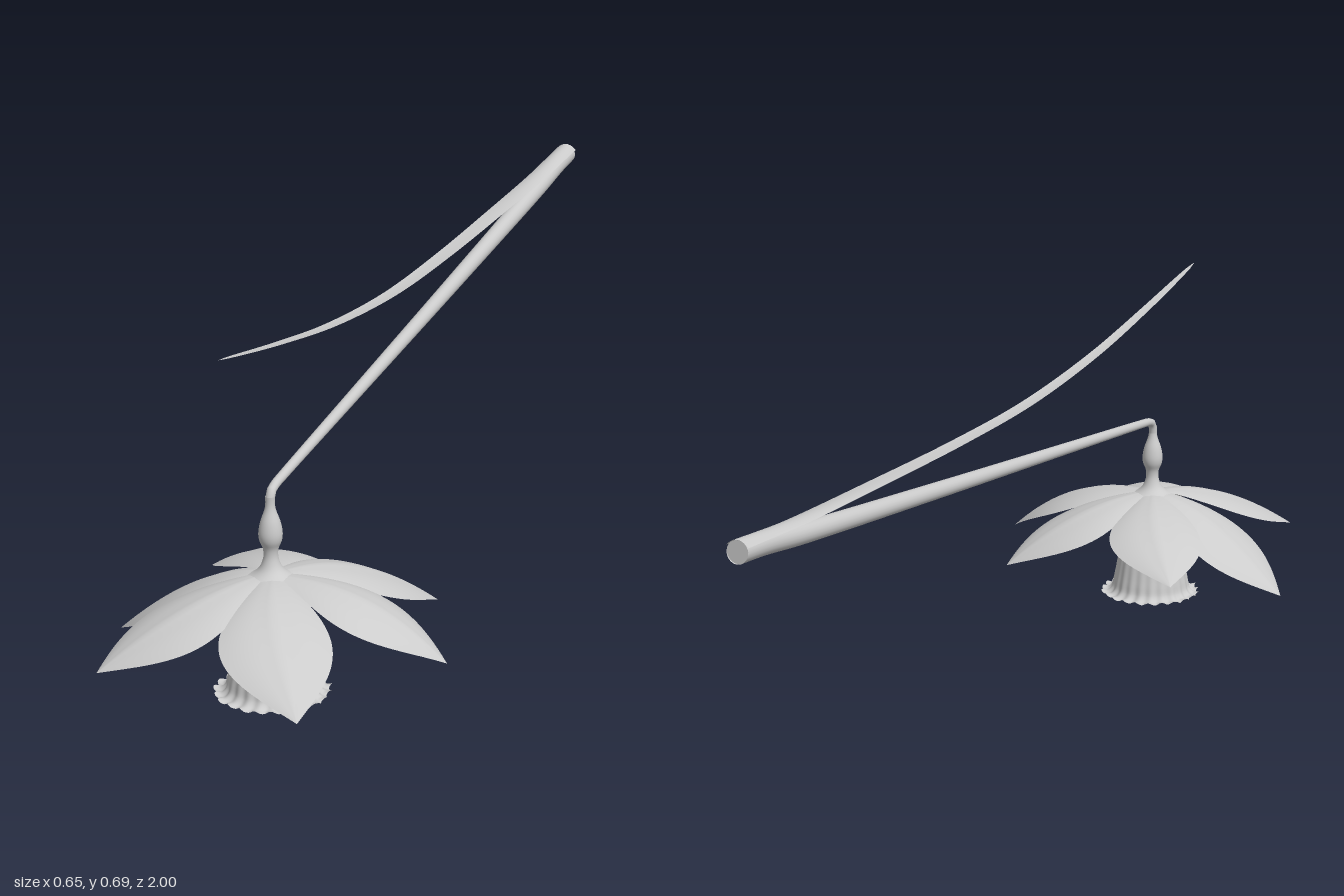
import * as THREE from 'three';
import { ParametricGeometry } from 'three/addons/geometries/ParametricGeometry.js';

const CX = -0.005, CZ = 0.70; // flower axis
const material = new THREE.MeshStandardMaterial({ color: 0xcccccc, side: THREE.DoubleSide });

function addMesh(parent, name, geometry) {
  const mesh = new THREE.Mesh(geometry, material);
  mesh.name = name;
  parent.add(mesh);
  return mesh;
}

// Smooth curve lying in the plane x = CX, given as [z, y] pairs
function planeCurve(points) {
  return new THREE.CatmullRomCurve3(points.map(([z, y]) => new THREE.Vector3(CX, y, z)), false, 'centripetal');
}

// Drooping petal from the flower axis to its tip; bow shifts the blade sideways
function petalGeometry({ tip: [tx, ty, tz], width, droop, bow }) {
  const dir = new THREE.Vector2(tx - CX, tz - CZ);
  const length = dir.length();
  dir.normalize();
  const start = 0.018, baseY = 0.227;
  const geometry = new ParametricGeometry((u, t, target) => {
    const s = u * 2 - 1;
    const r = start + (length - start) * t;
    const swell = Math.sin(Math.PI * Math.pow(t, 1.1));
    const half = width * Math.max(swell, 0) + 0.012 * (1 - t);
    const side = s * half + bow * Math.sin(Math.PI * t);
    const fold = 0.024 * swell * s * s - 0.003 * swell * Math.exp(-s * s * 60);
    target.set(
      CX + dir.x * r - dir.y * side,
      baseY - (baseY - ty) * Math.pow(t, droop) - fold,
      CZ + dir.y * r + dir.x * side
    );
  }, 16, 28);
  geometry.computeVertexNormals();
  return geometry;
}

// Fluted trumpet with a flared, frilled rim
function coronaGeometry() {
  const profile = new THREE.CatmullRomCurve3([
    [0.018, 0.222], [0.04, 0.208], [0.052, 0.175], [0.061, 0.13], [0.071, 0.08],
    [0.079, 0.035], [0.084, 0.013], [0.092, 0.005], [0.103, 0.004]
  ].map(([r, y]) => new THREE.Vector3(r, y, 0)));
  return new ParametricGeometry((u, v, target) => {
    const a = u * Math.PI * 2;
    const p = profile.getPoint(v);
    const wave = Math.cos(a * 22) + 0.35 * Math.sin(a * 9);
    const r = p.x + wave * 0.0035 * Math.pow(v, 3);
    const lift = 0.003 * Math.sin(a * 22 + 0.6) * Math.pow(v, 10);
    target.set(CX + Math.cos(a) * r, p.y + lift, CZ + Math.sin(a) * r);
  }, 176, 36);
}

// Round tapering stalk swept along a curve in the plane x = CX
function stalkGeometry(curve, radiusAt) {
  return new ParametricGeometry((u, v, target) => {
    const a = u * Math.PI * 2;
    const p = curve.getPointAt(v), t = curve.getTangentAt(v), r = radiusAt(p.z);
    target.set(
      p.x + Math.cos(a) * r,
      p.y + Math.sin(a) * r * -t.z,
      p.z + Math.sin(a) * r * t.y
    );
  }, 20, 120);
}

// Thin strap leaf, channelled along the middle and sheathing the stalk at its root
function leafGeometry(curve) {
  return new ParametricGeometry((u, v, target) => {
    const s = u * 2 - 1;
    const p = curve.getPointAt(v);
    const half = (0.022 - 0.013 * v) * Math.sqrt(Math.max(0, 1 - Math.pow(v, 14)));
    const wrap = 0.014 * Math.pow(1 - v, 6);
    target.set(CX + s * half, p.y + (0.002 * (1 - v) - wrap) * s * s, p.z);
  }, 10, 60);
}

export function createModel() {
  const model = new THREE.Group();
  model.name = 'noddingFlower';

  // Six petals in two alternating whorls
  const petals = new THREE.Group();
  petals.name = 'petals';
  model.add(petals);
  [
    { tip: [0.325, 0.104, 0.70], width: 0.08, droop: 2.4, bow: 0.006 },
    { tip: [0.165, 0.093, 1.0], width: 0.092, droop: 1.9, bow: 0.016 },
    { tip: [-0.222, 0.112, 0.965], width: 0.088, droop: 1.9, bow: -0.012 },
    { tip: [-0.328, 0.054, 0.645], width: 0.09, droop: 1.6, bow: 0 },
    { tip: [-0.18, 0.124, 0.402], width: 0.09, droop: 1.9, bow: 0.014 },
    { tip: [0.212, 0.105, 0.434], width: 0.088, droop: 2.1, bow: -0.014 }
  ].forEach((spec, i) => addMesh(petals, `petal${i + 1}`, petalGeometry(spec)));

  addMesh(model, 'corona', coronaGeometry());

  // Swollen ovary with the flared base of the flower
  const profile = new THREE.SplineCurve([
    [0.05, 0.219], [0.032, 0.228], [0.02, 0.24], [0.0135, 0.258], [0.014, 0.275], [0.02, 0.29],
    [0.0215, 0.305], [0.018, 0.325], [0.011, 0.345], [0.0085, 0.358], [0.0085, 0.372]
  ].map(([x, y]) => new THREE.Vector2(x, y)));
  const ovary = addMesh(model, 'ovary', new THREE.LatheGeometry(profile.getPoints(40), 28));
  ovary.position.set(CX, 0, CZ);

  // Long stalk, bent sharply above the ovary
  const stalk = planeCurve([
    [0.70, 0.355], [0.699, 0.37], [0.692, 0.381], [0.675, 0.3865], [0.64, 0.391],
    [0.3, 0.429], [-0.3, 0.496], [-0.8, 0.554], [-0.92, 0.571], [-1, 0.579]
  ]);
  const stalkRadius = z => 0.0085 + 0.0125 * THREE.MathUtils.clamp((0.68 - z) / 1.68, 0, 1);
  addMesh(model, 'stalk', stalkGeometry(stalk, stalkRadius));

  // Cut end of the stalk
  const end = addMesh(model, 'cutEnd', new THREE.CircleGeometry(0.021, 20));
  end.rotation.y = Math.PI;
  end.position.set(CX, 0.579, -0.999);

  // Single leaf rising away from the stalk
  const leaf = planeCurve([
    [-1, 0.601], [-0.8, 0.583], [-0.5, 0.571], [-0.2, 0.565], [0.1, 0.57],
    [0.4, 0.598], [0.65, 0.638], [0.91, 0.687]
  ]);
  addMesh(model, 'leaf', leafGeometry(leaf));

  return model;
}
